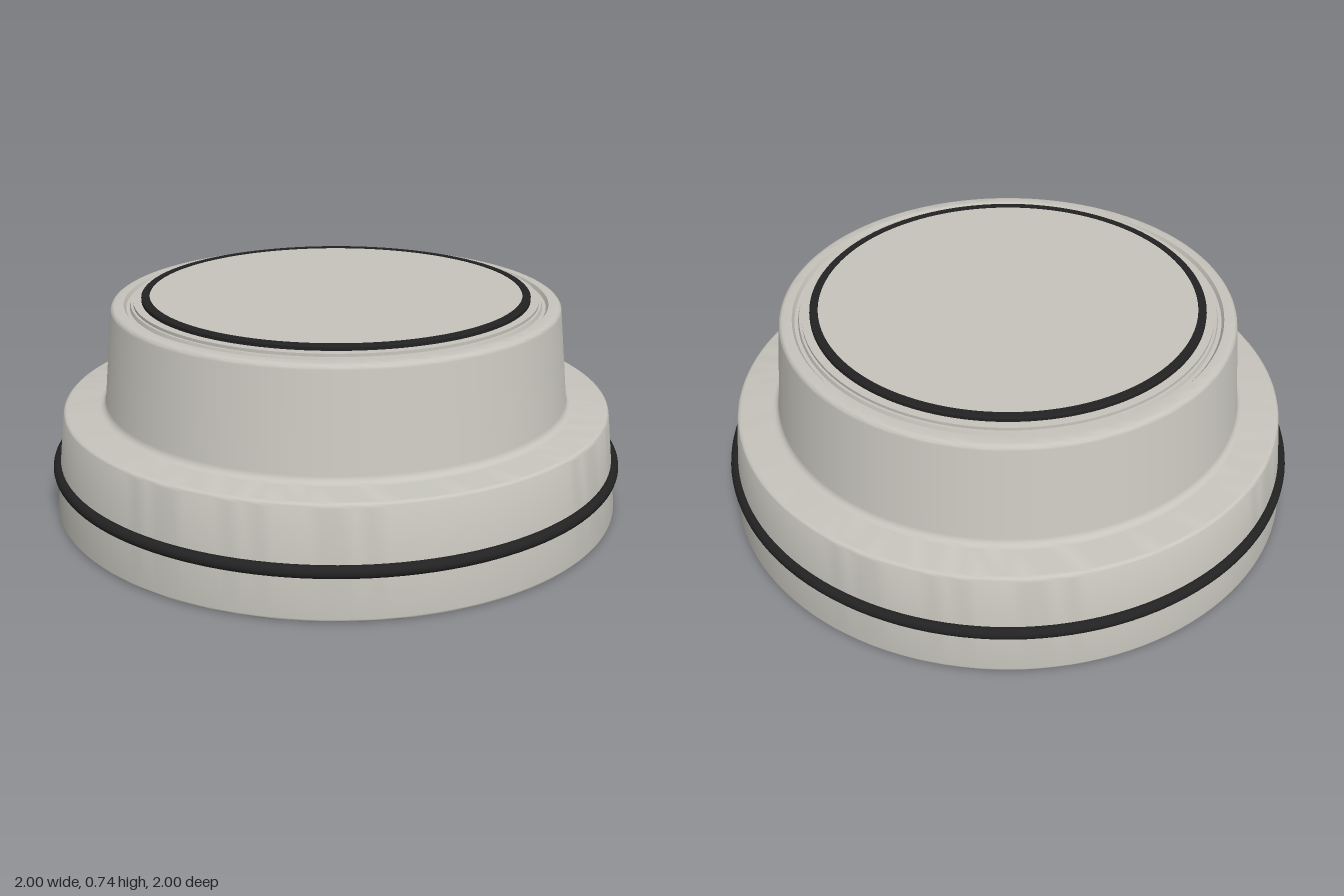
import * as THREE from 'three';
import { toCreasedNormals } from 'three/addons/utils/BufferGeometryUtils.js';

const SEGMENTS = 128;

export function createModel() {
  const model = new THREE.Group();
  const shellGrey = new THREE.MeshStandardMaterial({ color: 0xc6c4bc });
  const rubberBlack = new THREE.MeshStandardMaterial({ color: 0x222222 });
  shellGrey.name = 'shellGrey';
  rubberBlack.name = 'rubberBlack';

  // Revolves a counter-clockwise [radius, height] profile, keeping hard edges crisp
  const turn = (name, profile, material) => {
    const lathe = new THREE.LatheGeometry(profile.map(([r, y]) => new THREE.Vector2(r, y)), SEGMENTS);
    const mesh = new THREE.Mesh(toCreasedNormals(lathe, 0.6), material);
    mesh.name = name;
    model.add(mesh);
  };

  // Points of a rounded corner or fillet between two angles in degrees
  const arc = (cx, cy, radius, from, to, steps = 4) =>
    Array.from({ length: steps + 1 }, (_, i) => {
      const a = THREE.MathUtils.degToRad(from + (to - from) * i / steps);
      return [cx + radius * Math.cos(a), cy + radius * Math.sin(a)];
    });

  // Stepped hollow body: open recess below, flange, tapered dome and top groove
  turn('body', [
    [0, 0.375], [0.77, 0.375], [0.8, 0], [0.984, 0],
    ...arc(0.984, 0.01, 0.01, -60, 6, 3),
    ...arc(0.938, 0.342, 0.016, 6, 90),
    ...arc(0.832, 0.383, 0.025, 270, 186),
    ...arc(0.755, 0.694, 0.018, 6, 90),
    [0.728, 0.712], [0.72, 0.7], [0.708, 0.7], [0.704, 0.712], [0, 0.712],
  ], shellGrey);

  // Low raised plate on the top
  turn('topPlate', [[0.696, 0.71], [0.696, 0.722], [0, 0.722]], shellGrey);

  // Black ring bordering the centre disc
  turn('topRing', [[0.668, 0.72], [0.668, 0.733], [0.664, 0.737], [0.64, 0.737], [0.64, 0.72]], rubberBlack);

  // Flush centre disc
  turn('centreDisc', [[0.641, 0.72], [0.641, 0.734], [0, 0.734]], shellGrey);

  // Rubber band round the flange
  const band = new THREE.Mesh(new THREE.TorusGeometry(0.98, 0.02, 16, SEGMENTS), rubberBlack);
  band.name = 'sealBand';
  band.rotation.x = Math.PI / 2;
  band.position.y = 0.158;
  model.add(band);

  return model;
}
